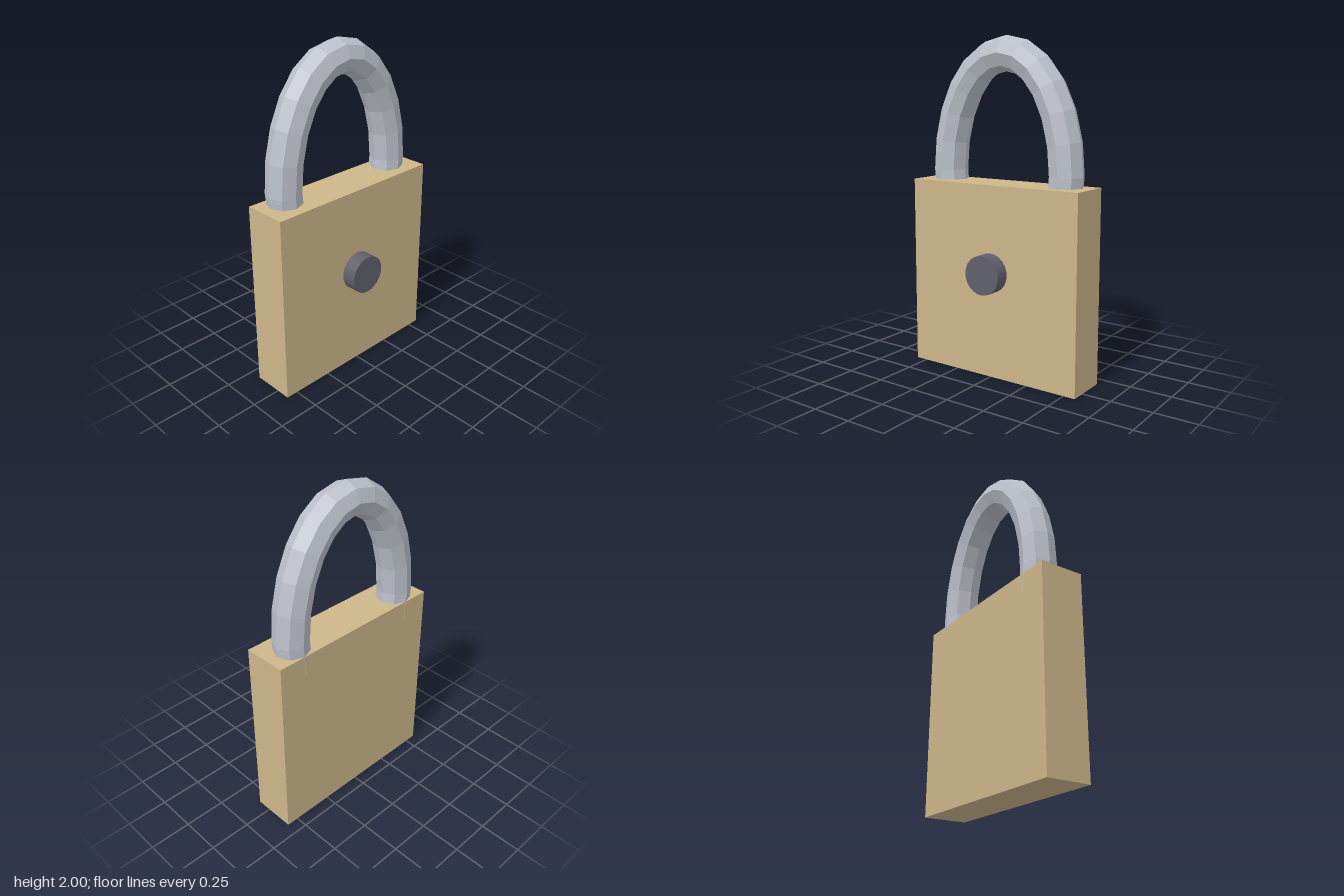
import * as THREE from 'three';

// Half-ellipse arch, running slightly past each end into the body
class ArchCurve extends THREE.Curve {
  getPoint(t, target = new THREE.Vector3()) {
    const a = (-15 + 210 * t) * Math.PI / 180;
    return target.set(0.41 * Math.cos(a), 1.21 + 0.687 * Math.sin(a), -0.074);
  }
  // Even steps of angle rather than of length
  getPointAt(t, target) { return this.getPoint(t, target); }
  getTangentAt(t, target) { return this.getTangent(t, target); }
}

export function createModel() {
  const group = new THREE.Group();

  const add = (name, geometry, color) => {
    const material = new THREE.MeshStandardMaterial({ color, flatShading: true });
    const mesh = new THREE.Mesh(geometry, material);
    mesh.name = name;
    group.add(mesh);
    return mesh;
  };

  // Square block
  add('body', new THREE.BoxGeometry(1.146, 1.15, 0.264), 0xcdb68a)
    .position.set(0, 0.575, -0.044);

  // Eight-sided bar bent into an arch
  add('shackle', new THREE.TubeGeometry(new ArchCurve(), 14, 0.103, 8, false), 0xbcc0ca);

  // Round lock plug on the front
  const plug = add('lockPlug', new THREE.CylinderGeometry(0.116, 0.116, 0.1, 24), 0x60606c);
  plug.rotation.x = Math.PI / 2;
  plug.position.set(0, 0.635, 0.126);

  return group;
}
